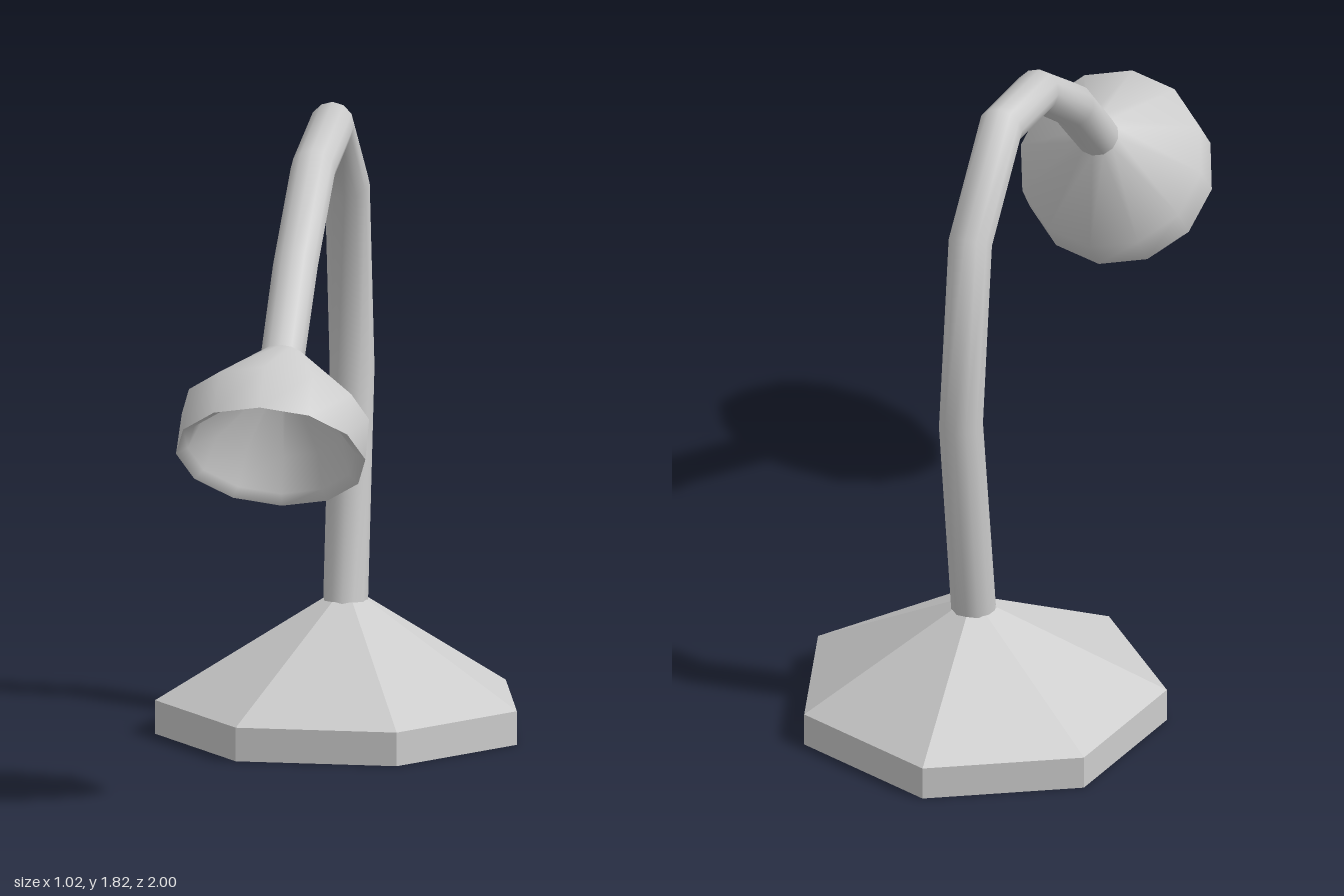
import * as THREE from 'three';

// Skin through rings; each ring is [zBack, yBack, zFront, yFront, halfWidth]
function loft(rings, sides) {
  const pos = [], index = [];
  for (const [z0, y0, z1, y1, w] of rings) {
    for (let j = 0; j < sides; j++) {
      const t = (j / sides) * Math.PI * 2;
      const c = Math.cos(t) / 2;
      pos.push(w * Math.sin(t), (y0 + y1) / 2 + c * (y0 - y1), (z0 + z1) / 2 + c * (z0 - z1));
    }
  }
  for (let i = 0; i < rings.length - 1; i++) {
    for (let j = 0; j < sides; j++) {
      const k = (j + 1) % sides;
      const a = i * sides + j, b = i * sides + k;
      const c = a + sides, d = b + sides;
      index.push(a, c, b, b, c, d);
    }
  }
  const g = new THREE.BufferGeometry();
  g.setAttribute('position', new THREE.Float32BufferAttribute(pos, 3));
  g.setIndex(index);
  g.computeVertexNormals();
  return g;
}

// Flat-shaded copy without collapsed triangles
function faceted(g) {
  const p = g.toNonIndexed().getAttribute('position');
  const out = [], tri = new THREE.Triangle();
  for (let i = 0; i < p.count; i += 3) {
    tri.setFromAttributeAndIndices(p, i, i + 1, i + 2);
    if (tri.getArea() > 1e-7) out.push(...tri.a.toArray(), ...tri.b.toArray(), ...tri.c.toArray());
  }
  const f = new THREE.BufferGeometry();
  f.setAttribute('position', new THREE.Float32BufferAttribute(out, 3));
  f.computeVertexNormals();
  return f;
}

export function createModel() {
  const group = new THREE.Group();
  const grey = new THREE.MeshStandardMaterial({ color: 0xcccccc });
  grey.name = 'light grey';
  const add = (name, geometry) => {
    const m = new THREE.Mesh(geometry, grey);
    m.name = name;
    group.add(m);
  };

  // Seven-sided foot rising to a small collar
  add('base', faceted(loft([
    [-0.479, 0, -0.479, 0, 0],
    [-1, 0, 0.042, 0, 0.521],
    [-1, 0.095, 0.042, 0.095, 0.521],
    [-0.602, 0.365, -0.47, 0.365, 0.066],
    [-0.536, 0.365, -0.536, 0.365, 0],
  ], 7)));

  // Bent arm
  const neck = [0.63, 1.31, 0.545, 1.225, 0.062];
  add('arm', loft([
    [-0.6, 0.36, -0.47, 0.36, 0.063],
    [-0.71, 1.0, -0.59, 1.0, 0.063],
    [-0.615, 1.565, -0.515, 1.5, 0.063],
    [-0.3, 1.815, -0.275, 1.69, 0.063],
    [0.065, 1.75, 0.025, 1.635, 0.063],
    [0.4, 1.53, 0.32, 1.435, 0.063],
    neck,
  ], 12));

  // Shade, outside
  const lip = [1.0, 1.205, 0.605, 0.85, 0.266];
  add('shade', loft([neck, [0.91, 1.303, 0.525, 0.945, 0.263], lip], 12));

  // Shade, hollow inside: rings set back along the lamp axis from the lip centre
  const inner = (r, depth) => {
    const z = 0.8025 - 0.668 * depth, y = 1.0275 + 0.744 * depth;
    return [z + 0.744 * r, y + 0.668 * r, z - 0.744 * r, y - 0.668 * r, r];
  };
  add('shadeInside', loft([lip, inner(0.235, 0.02), inner(0.2, 0.12), inner(0.03, 0.26), inner(0, 0.26)], 12));

  return group;
}
